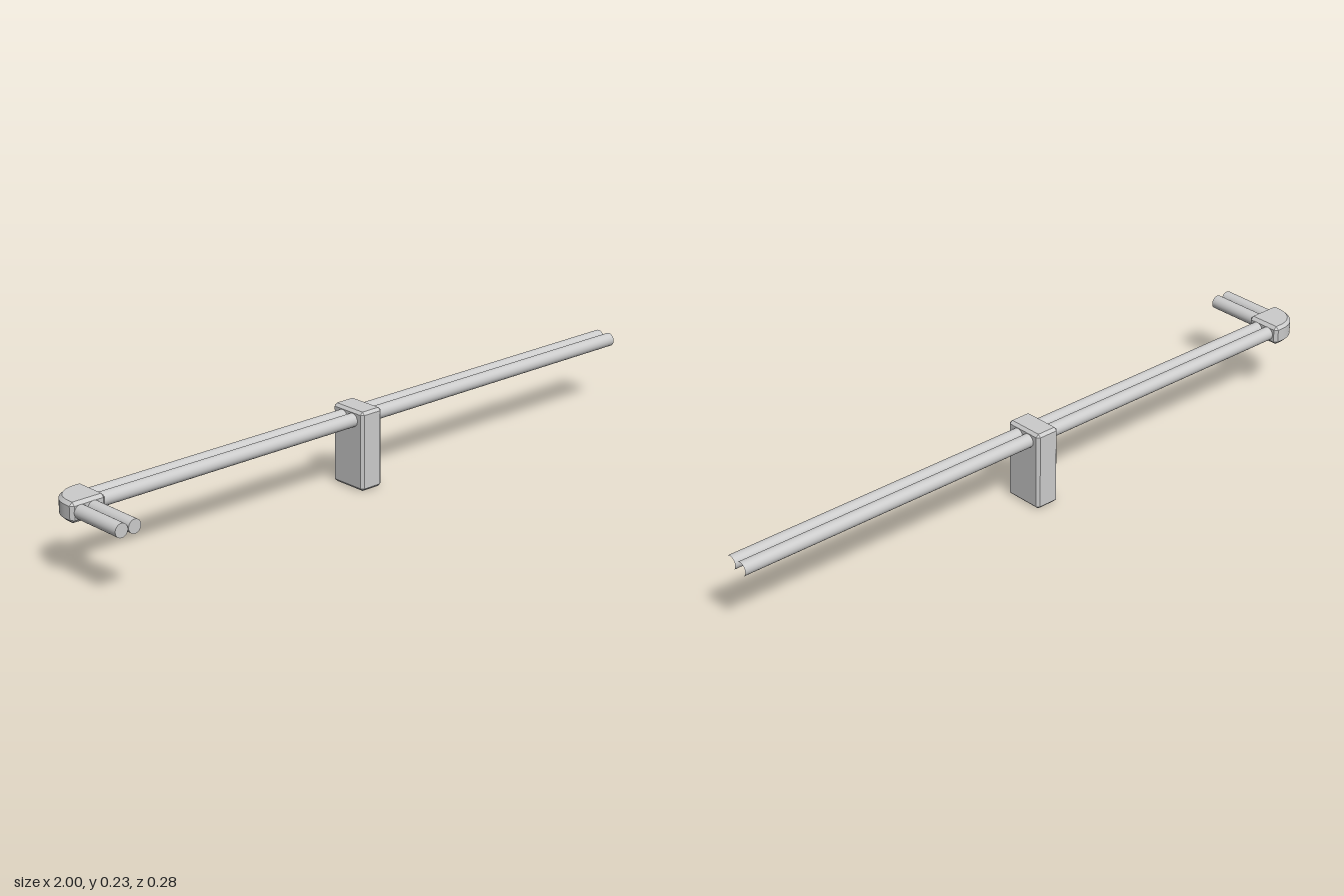
import * as THREE from 'three';
import { ConvexGeometry } from 'three/addons/geometries/ConvexGeometry.js';
import { toCreasedNormals } from 'three/addons/utils/BufferGeometryUtils.js';

const PIPE_Y = 0.201, PIPE_R = 0.0195, PIPE_GAP = 0.0205, RAIL_Z = -0.08, ARM_X = -0.952;

export function createModel() {
  const group = new THREE.Group();
  const material = new THREE.MeshStandardMaterial({ color: 0xcccccc });

  const add = (name, geometry, x, y, z) => {
    const mesh = new THREE.Mesh(geometry, material);
    mesh.name = name;
    mesh.position.set(x, y, z);
    group.add(mesh);
    return mesh;
  };

  // Box with every edge chamfered, as the hull of three points per corner
  const chamferBox = (w, h, d, c) => {
    const points = [];
    for (const sx of [-1, 1]) for (const sy of [-1, 1]) for (const sz of [-1, 1]) {
      const [x, y, z] = [sx * w / 2, sy * h / 2, sz * d / 2];
      points.push(
        new THREE.Vector3(x, y - sy * c, z - sz * c),
        new THREE.Vector3(x - sx * c, y, z - sz * c),
        new THREE.Vector3(x - sx * c, y - sy * c, z));
    }
    return new ConvexGeometry(points);
  };

  // Elbow block: square plan with a large rounded outer corner and chamfered rims
  const elbowGeometry = (size, h, r, c) => {
    const s = size / 2, points = [];
    const ring = (inset, y) => {
      const e = s - inset, k = s - c;
      for (let i = 0; i <= 10; i++) {
        const a = (i / 10) * Math.PI / 2;
        points.push(new THREE.Vector3(
          -s + r - (r - inset) * Math.cos(a), y, -s + r - (r - inset) * Math.sin(a)));
      }
      for (const [x, z] of [[k, -e], [e, -k], [e, k], [k, e], [-k, e], [-e, k]]) {
        points.push(new THREE.Vector3(x, y, z));
      }
    };
    for (const sy of [-1, 1]) {
      ring(0, sy * (h / 2 - c));
      ring(c, sy * h / 2);
    }
    return toCreasedNormals(new ConvexGeometry(points), 0.4);
  };

  // Paired pipes: a long open rail along x, and a short closed arm pointing forward
  const railLength = 1.92, armLength = 0.18;
  for (const side of [-1, 1]) {
    const rail = add('railPipe', new THREE.CylinderGeometry(PIPE_R, PIPE_R, railLength, 32, 1, true),
      1 - railLength / 2, PIPE_Y, RAIL_Z + side * PIPE_GAP);
    rail.rotation.z = Math.PI / 2;
    const arm = add('armPipe', new THREE.CylinderGeometry(PIPE_R, PIPE_R, armLength, 32),
      ARM_X + side * PIPE_GAP, PIPE_Y, 0.14 - armLength / 2);
    arm.rotation.x = Math.PI / 2;
  }

  // Corner joint and centre post
  add('elbowJoint', elbowGeometry(0.108, 0.056, 0.08, 0.009), -0.946, PIPE_Y, RAIL_Z);
  add('supportPost', chamferBox(0.074, 0.23, 0.12, 0.008), 0.006, 0.115, RAIL_Z);

  return group;
}
